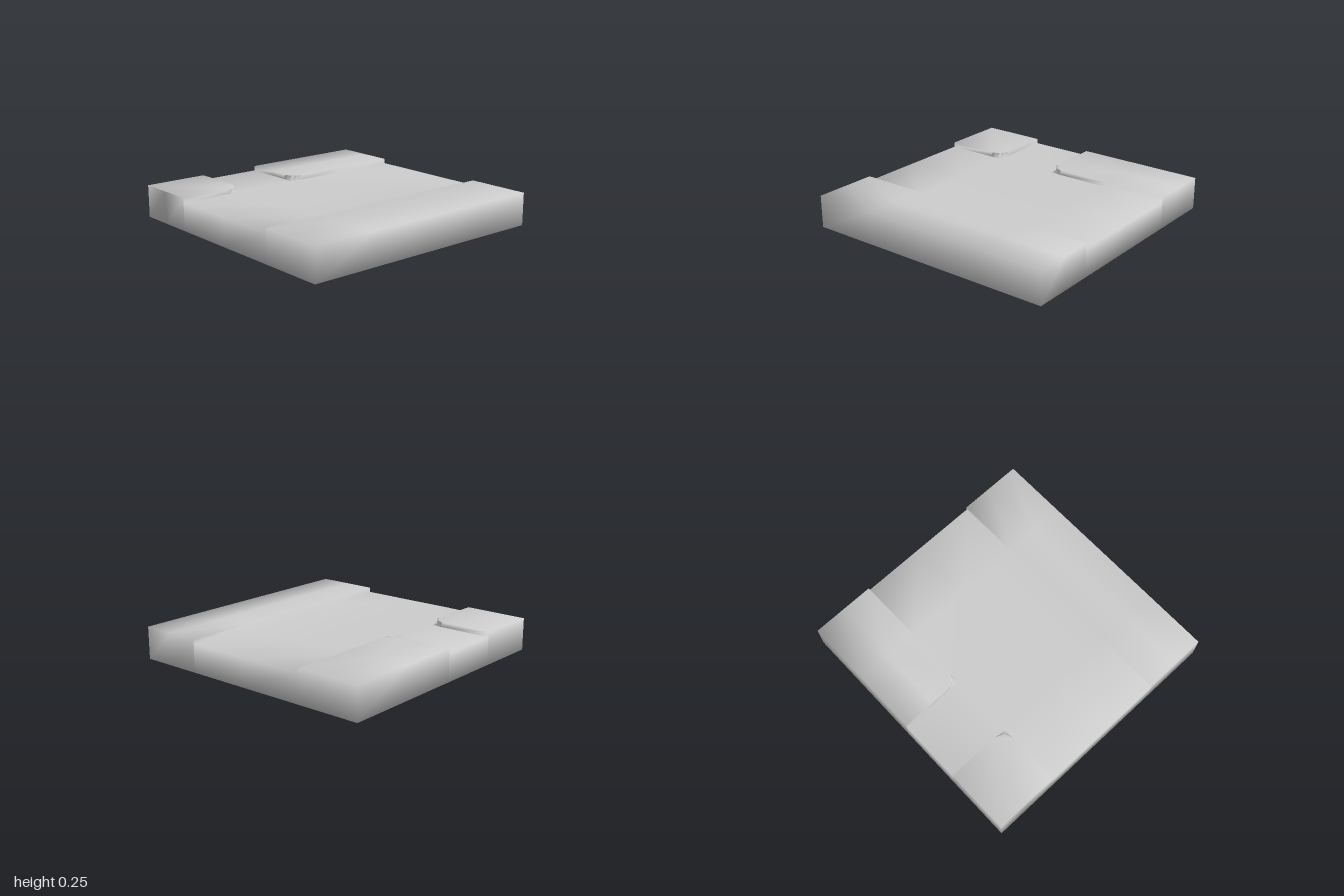
import * as THREE from 'three';
import { mergeGeometries, mergeVertices } from 'three/addons/utils/BufferGeometryUtils.js';

const ROAD = 0.213, WALK = 0.25, R = 0.1;
const XS = [-1, -0.75, -0.5, 0, 0.5, 0.75, 1];
const ZS = [-1, -0.5, 0, 0.5, 1];

// Flat panel through [x, z] corners at height y, facing up or down
function panel(points, y, down = false) {
  const s = down ? 1 : -1;
  const shape = new THREE.Shape(points.map(([x, z]) => new THREE.Vector2(x, s * z)));
  const g = new THREE.ShapeGeometry(shape).rotateX((s * Math.PI) / 2).translate(0, y, 0).toNonIndexed();
  g.deleteAttribute('uv');
  g.deleteAttribute('normal');
  return g;
}

const rect = (x0, x1, z0, z1) => [[x0, z1], [x1, z1], [x1, z0], [x0, z0]];

// Grid of panels over the given breakpoints
function grid(xs, zs, y, down) {
  const out = [];
  for (let i = 0; i + 1 < xs.length; i++)
    for (let j = 0; j + 1 < zs.length; j++)
      out.push(panel(rect(xs[i], xs[i + 1], zs[j], zs[j + 1]), y, down));
  return out;
}

// Upright strip along [x, z] points, facing right of the walking direction
function wall(points, y0, y1) {
  const v = [];
  for (let i = 0; i + 1 < points.length; i++) {
    const [a, b] = points[i], [c, d] = points[i + 1];
    v.push(a, y0, b, c, y0, d, c, y1, d, a, y0, b, c, y1, d, a, y1, b);
  }
  const g = new THREE.BufferGeometry();
  g.setAttribute('position', new THREE.Float32BufferAttribute(v, 3));
  return g;
}

// Quarter circle around (x, z), angle measured from +x towards +z
function arc(x, z, from, to) {
  return Array.from({ length: 9 }, (_, i) => {
    const a = from + ((to - from) * i) / 8;
    return [x + R * Math.cos(a), z + R * Math.sin(a)];
  });
}

// Blend normals over the shared corners of all parts
function smoothTogether(parts) {
  const whole = mergeVertices(mergeGeometries(parts.map((p) => p.geometry)), 1e-4);
  whole.computeVertexNormals();
  const key = (p, i) => [p.getX(i), p.getY(i), p.getZ(i)].map((n) => Math.round(n * 1000)).join();
  const normals = new Map();
  const wp = whole.attributes.position, wn = whole.attributes.normal;
  for (let i = 0; i < wp.count; i++) normals.set(key(wp, i), [wn.getX(i), wn.getY(i), wn.getZ(i)]);
  for (const { geometry } of parts) {
    const p = geometry.attributes.position, n = [];
    for (let i = 0; i < p.count; i++) n.push(...normals.get(key(p, i)));
    geometry.setAttribute('normal', new THREE.Float32BufferAttribute(n, 3));
  }
}

export function createModel() {
  const group = new THREE.Group();
  const material = new THREE.MeshStandardMaterial({ color: 0xcccccc });
  const add = (name, pieces) => {
    const mesh = new THREE.Mesh(mergeGeometries(pieces), material);
    mesh.name = name;
    group.add(mesh);
  };
  const H = Math.PI / 2;
  const backArc = arc(-0.5 - R, -R, H, 0);
  const frontArc = arc(-0.5 - R, 0.5 + R, 0, -H);

  // Road surface: through lane, side street and the two rounded corners
  add('road', [
    ...grid([-0.5, 0, 0.5], ZS, ROAD),
    panel(rect(-1, -0.5, 0, 0.5), ROAD),
    panel([[-0.5, 0], ...backArc], ROAD),
    panel([[-0.5, 0.5], ...frontArc], ROAD),
  ]);

  // Straight pavement on the left
  add('leftPavement', [
    ...grid([0.5, 0.75, 1], ZS, WALK),
    wall(ZS.map((z) => [0.5, z]), ROAD, WALK),
  ]);

  // Pavement behind the side street
  add('backRightPavement', [
    ...grid([-1, -0.75, -0.5], [-1, -0.5], WALK),
    panel(rect(-1, -0.75, -0.5, 0), WALK),
    panel([[-0.75, -0.5], [-0.75, 0], ...backArc, [-0.5, -0.5]], WALK),
    wall([[-1, 0], [-0.75, 0], ...backArc, [-0.5, -0.5], [-0.5, -1]], ROAD, WALK),
  ]);

  // Pavement in front of the side street
  add('frontRightPavement', [
    panel([[-1, 1], [-0.5, 1], ...frontArc, [-1, 0.5]], WALK),
    wall([[-0.5, 1], ...frontArc, [-1, 0.5]], ROAD, WALK),
  ]);

  // Outer sides and underside
  const sides = [];
  for (let i = 0; i + 1 < XS.length; i++) {
    const a = XS[i], b = XS[i + 1];
    const top = Math.abs(a + b) > 1 ? WALK : ROAD;
    sides.push(wall([[a, 1], [b, 1]], 0, top), wall([[b, -1], [a, -1]], 0, top));
  }
  for (let i = 0; i + 1 < ZS.length; i++) {
    const a = ZS[i], b = ZS[i + 1];
    sides.push(wall([[1, b], [1, a]], 0, WALK));
    sides.push(wall([[-1, a], [-1, b]], 0, a === 0 ? ROAD : WALK));
  }
  add('base', [...sides, ...grid(XS, ZS, 0, true)]);

  smoothTogether(group.children);
  return group;
}
